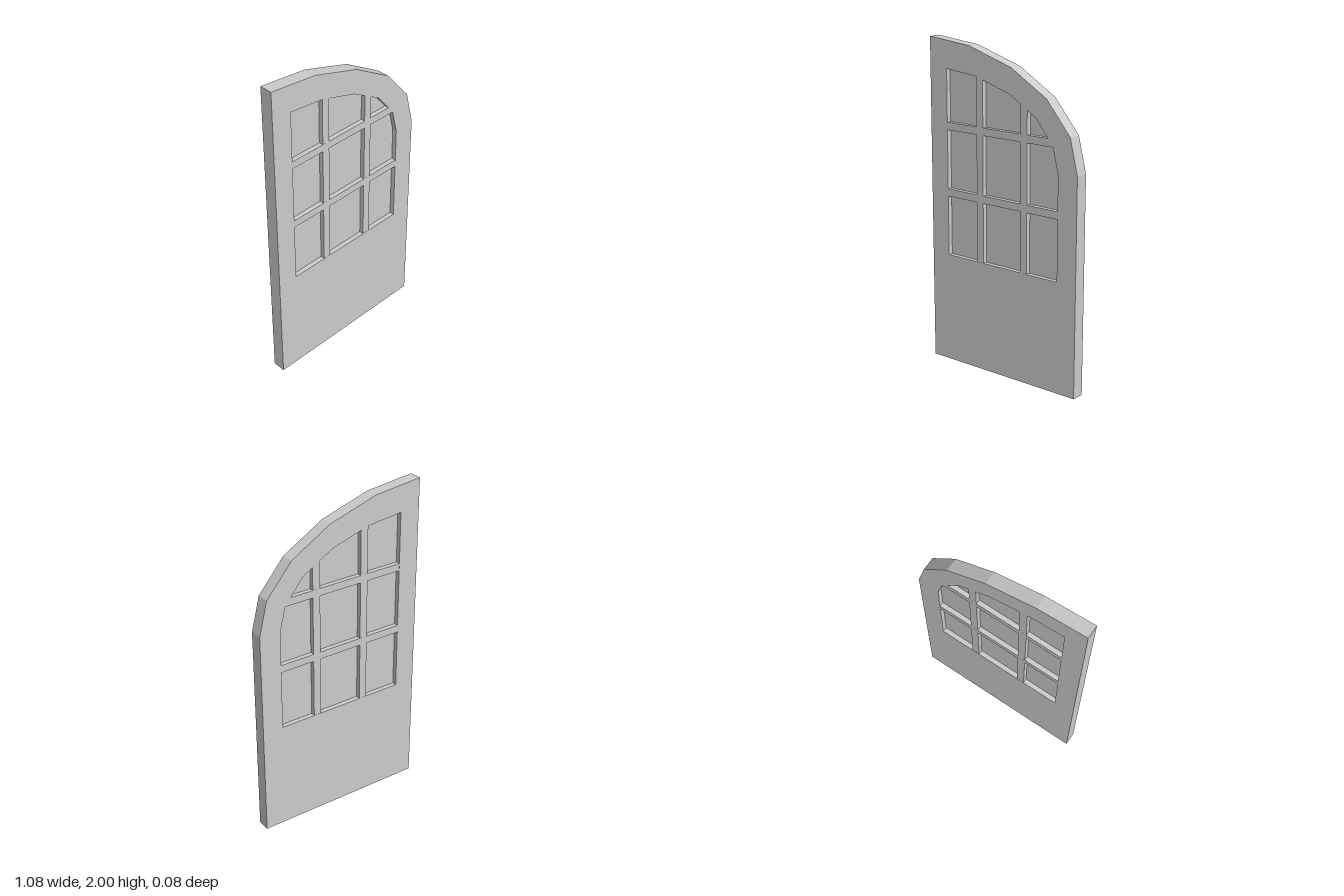
import * as THREE from 'three';

const material = new THREE.MeshStandardMaterial({ color: 0xcccccc, flatShading: true });

// Half-arch corners, from the low side to the tall side
const outerArch = [[0.54, 1.317], [0.488, 1.527], [0.325, 1.72], [0.073, 1.87], [-0.235, 1.967], [-0.54, 2]];
const innerArch = [[0.408, 1.305], [0.37, 1.46], [0.25, 1.607], [0.058, 1.72], [-0.183, 1.795], [-0.412, 1.82]];

// Closed outline: flat bottom, straight sides, faceted arch on top
function outline(arch, bottom) {
  const left = arch[arch.length - 1][0], right = arch[0][0];
  return [[left, bottom], [right, bottom], ...arch].map(([x, y]) => new THREE.Vector2(x, y));
}

function addMesh(parent, name, geometry) {
  const mesh = new THREE.Mesh(geometry, material);
  mesh.name = name;
  parent.add(mesh);
}

function slab(shape, depth) {
  return new THREE.ExtrudeGeometry(shape, { depth, bevelEnabled: false }).translate(0, 0, -depth / 2);
}

function bar(x0, x1, y0, y1, depth) {
  return new THREE.BoxGeometry(x1 - x0, y1 - y0, depth).translate((x0 + x1) / 2, (y0 + y1) / 2, 0);
}

export function createModel() {
  const door = new THREE.Group();
  door.name = 'archedDoorLeaf';

  // Door leaf with the window opening
  const leaf = new THREE.Shape(outline(outerArch, 0));
  leaf.holes.push(new THREE.Path(outline(innerArch, 0.682)));
  addMesh(door, 'doorLeaf', slab(leaf, 0.08));

  // Recessed pane filling the opening
  addMesh(door, 'windowPane', slab(new THREE.Shape(outline(innerArch, 0.682)), 0.022));

  // Glazing bars, their ends let into the leaf
  const bars = new THREE.Group();
  bars.name = 'glazingBars';
  for (const [x, top] of [[-0.161, 1.82], [0.165, 1.7]])
    addMesh(bars, 'verticalBar', bar(x - 0.024, x + 0.024, 0.66, top, 0.078));
  for (const [y, right] of [[1.073, 0.43], [1.479, 0.4]])
    addMesh(bars, 'horizontalBar', bar(-0.43, right, y - 0.023, y + 0.023, 0.0785));
  door.add(bars);

  return door;
}
